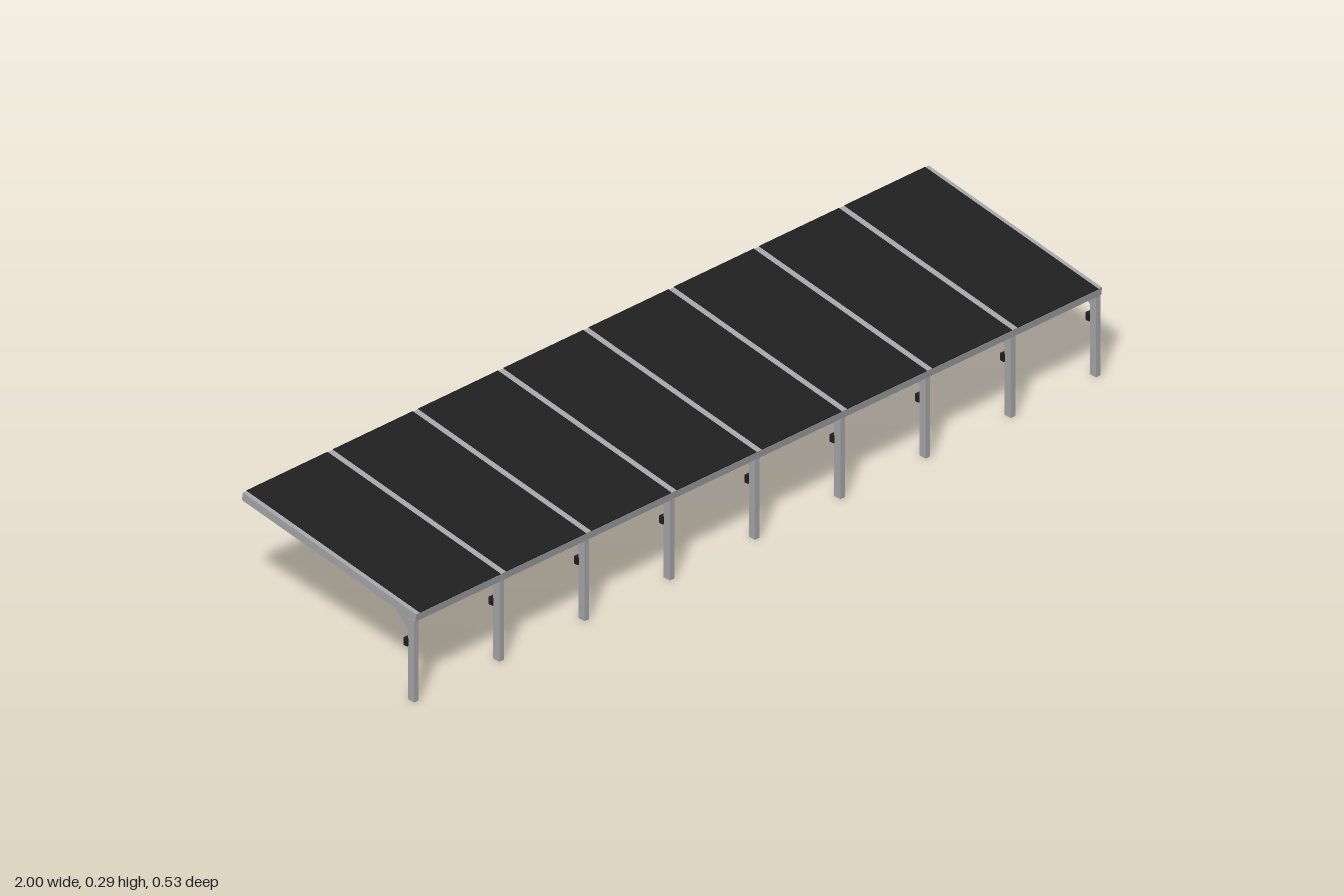
import * as THREE from 'three';

const steel = new THREE.MeshStandardMaterial({ color: 0xa9a8ab });
steel.name = 'galvanised steel grey';
const black = new THREE.MeshStandardMaterial({ color: 0x202020 });
black.name = 'panel black';

function box(name, w, h, d, x, y, z, material) {
  const mesh = new THREE.Mesh(new THREE.BoxGeometry(w, h, d), material);
  mesh.name = name;
  mesh.position.set(x, y, z);
  return mesh;
}

// Triangular brace between post and roof, drawn in (z, y) and extruded along x
function makeBrace(width) {
  const shape = new THREE.Shape();
  [[0.244, 0.166], [0.2, 0.205], [0.2, 0.21], [0.244, 0.204]].forEach(([z, y], i) =>
    i ? shape.lineTo(-z, y) : shape.moveTo(-z, y));
  const geometry = new THREE.ExtrudeGeometry(shape, { depth: width, bevelEnabled: false });
  geometry.translate(0, 0, -width / 2);
  geometry.rotateY(Math.PI / 2);
  const mesh = new THREE.Mesh(geometry, steel);
  mesh.name = 'brace';
  return mesh;
}

export function createModel() {
  const model = new THREE.Group();
  model.name = 'solarCanopy';

  const bays = 8;
  const postWidth = 0.013;
  const postX = i => -0.989 + (i * 2 * 0.989) / bays;

  // Sloping roof: steel slab carrying thin dark panels with gaps between bays
  const roof = new THREE.Group();
  roof.name = 'roof';
  roof.position.set(0, 0.244, 0.001);
  roof.rotation.x = 0.137;
  const length = 0.535;
  roof.add(box('roofSlab', 1.99, 0.0195, length, 0, -0.0007, 0, steel));
  for (let i = 0; i < bays; i++) {
    const left = postX(i) + (i === 0 ? 0.005 : 0.008);
    const right = postX(i + 1) - (i === bays - 1 ? 0.005 : 0.008);
    roof.add(box('solarPanel', right - left, 0.002, length, (left + right) / 2, 0.0095, 0, black));
  }
  model.add(roof);

  // Row of front posts, each with a brace and a small equipment box behind
  for (let i = 0; i <= bays; i++) {
    const support = new THREE.Group();
    support.name = 'support';
    support.position.x = postX(i);
    support.add(box('post', postWidth, 0.2, 0.019, 0, 0.1, 0.2525, steel));
    support.add(makeBrace(0.009));
    support.add(box('equipmentBox', 0.02, 0.018, 0.011, 0, 0.139, 0.2385, black));
    model.add(support);
  }
  return model;
}
